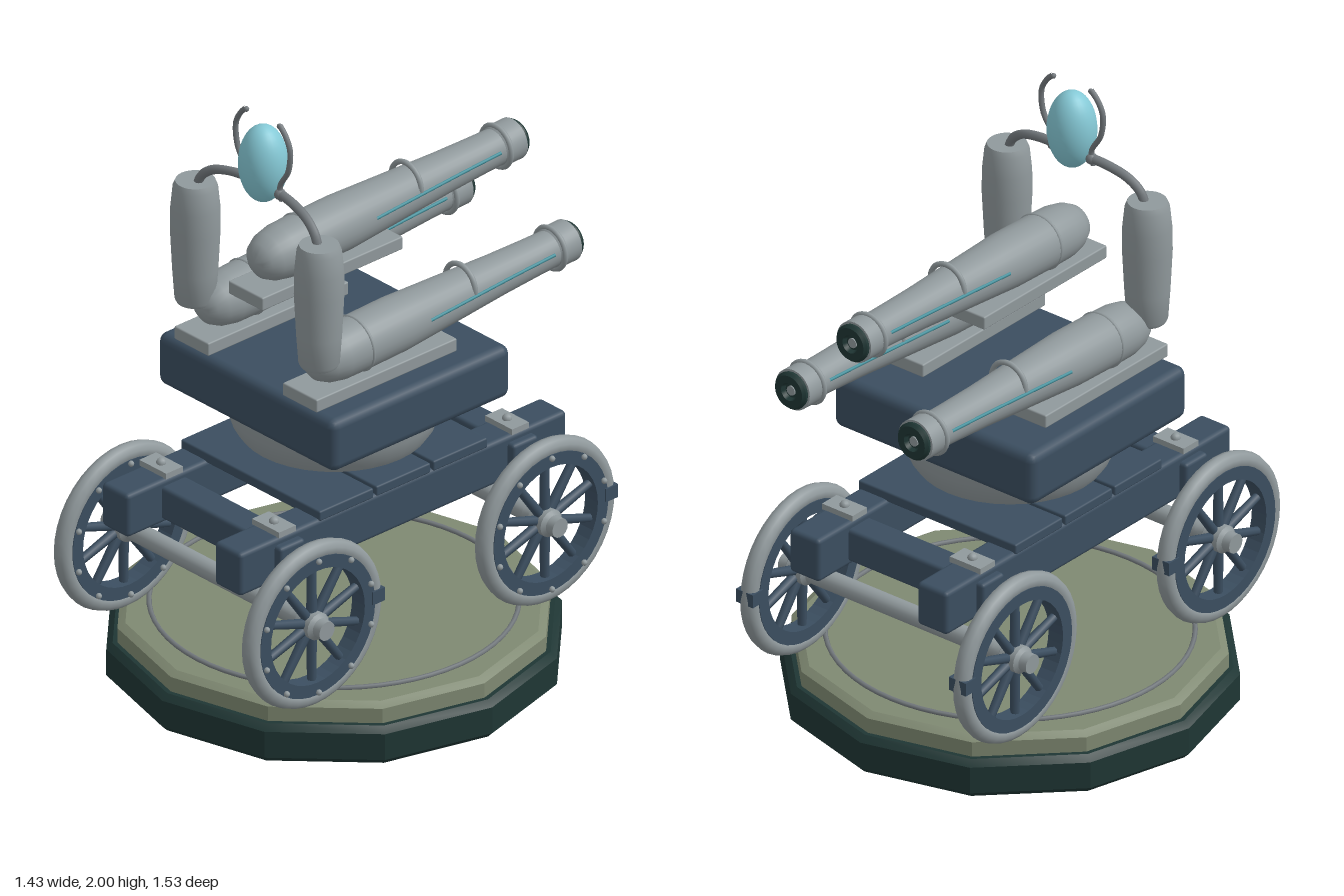
import * as THREE from 'three';
import { toCreasedNormals } from 'three/addons/utils/BufferGeometryUtils.js';
import { RoundedBoxGeometry } from 'three/addons/geometries/RoundedBoxGeometry.js';

const mat = (name, color) => {
  const m = new THREE.MeshStandardMaterial({ color });
  m.name = name;
  return m;
};

export function createModel() {
  const steel = mat('steel', 0x90999c);
  const iron = mat('dark iron', 0x73797d);
  const navy = mat('navy wood', 0x3b4e60);
  const olive = mat('olive ground', 0x7f8972);
  const dark = mat('dark green', 0x1f3634);
  const aqua = mat('aqua crystal', 0x85c9d6);
  const teal = mat('teal inlay', 0x3f8f9b);

  const root = new THREE.Group();
  root.name = 'tripleCannonWagon';

  // Helpers
  const group = (name, parent = root) => {
    const g = new THREE.Group();
    g.name = name;
    parent.add(g);
    return g;
  };
  const add = (parent, name, geo, material, x = 0, y = 0, z = 0) => {
    const m = new THREE.Mesh(geo, material);
    m.name = name;
    m.position.set(x, y, z);
    parent.add(m);
    return m;
  };
  const lathe = (pts, seg = 28, crease = 0.6) => toCreasedNormals(
    new THREE.LatheGeometry(pts.map(([r, y]) => new THREE.Vector2(r, y)), seg), crease);
  const box = (w, h, d, r = 0.012) => new RoundedBoxGeometry(w, h, d, 2, r);
  const tube = (pts, r, seg = 20) => new THREE.TubeGeometry(
    new THREE.CatmullRomCurve3(pts.map(p => new THREE.Vector3(...p))), seg, r, 8);

  // Twelve-sided stand
  const stand = group('stand');
  add(stand, 'standBase', lathe([[0, 0], [0.695, 0], [0.715, 0.02], [0.715, 0.11], [0.695, 0.13], [0, 0.13]], 12, 0.4), dark);
  add(stand, 'standTop', lathe([[0, 0.125], [0.68, 0.125], [0.68, 0.18], [0.655, 0.195], [0, 0.195]], 12, 0.4), olive);
  const ring = add(stand, 'standRing', new THREE.TorusGeometry(0.567, 0.008, 6, 64), iron, 0, 0.2, 0);
  ring.rotation.x = Math.PI / 2;

  // Wheels: built around local z, turned so z becomes +x
  function wheel(x, z) {
    const w = group('wheel');
    w.position.set(x, 0.467, z);
    w.rotation.y = Math.PI / 2;
    add(w, 'tyre', new THREE.TorusGeometry(0.25, 0.03, 10, 40), steel);
    const felloe = new THREE.Shape().absarc(0, 0, 0.238, 0, Math.PI * 2);
    felloe.holes.push(new THREE.Path().absarc(0, 0, 0.195, 0, Math.PI * 2, true));
    const rim = new THREE.ExtrudeGeometry(felloe, { depth: 0.058, bevelEnabled: false, curveSegments: 20 });
    add(w, 'felloe', rim, navy, 0, 0, -0.029);
    for (let i = 0; i < 10; i++) {
      const a = (i / 10) * Math.PI * 2 + Math.PI / 10;
      const s = add(w, 'spoke', new THREE.CylinderGeometry(0.014, 0.017, 0.18, 8), navy,
        Math.cos(a) * 0.12, Math.sin(a) * 0.12, 0);
      s.rotation.z = a - Math.PI / 2;
      add(w, 'stud', new THREE.SphereGeometry(0.01, 8, 6), steel,
        Math.cos(a) * 0.228, Math.sin(a) * 0.228, 0.034);
    }
    add(w, 'rimClip', new THREE.BoxGeometry(0.05, 0.045, 0.068), navy, 0.25, 0.015, 0);
    const hub = add(w, 'hub', lathe([[0, -0.07], [0.032, -0.07], [0.032, -0.04], [0.045, -0.03], [0.045, 0.03],
      [0.032, 0.04], [0.032, 0.07], [0, 0.07]], 16), steel);
    hub.rotation.x = Math.PI / 2;
  }

  // Axles, bolsters and straps
  const chassis = group('chassis');
  for (const z of [-0.485, 0.485]) {
    for (const x of [-0.425, 0.425]) wheel(x, z);
    const axle = add(chassis, 'axle', new THREE.CylinderGeometry(0.032, 0.032, 0.9, 16), steel, 0, 0.467, z);
    axle.rotation.z = Math.PI / 2;
    add(chassis, 'bolster', box(0.685, 0.112, 0.105), navy, 0, 0.655, z);
    for (const x of [-0.255, 0.255]) {
      add(chassis, 'strap', new THREE.BoxGeometry(0.122, 0.02, 0.07), steel, x, 0.742, z);
      add(chassis, 'strapBolt', new THREE.SphereGeometry(0.016, 10, 8), steel, x, 0.754, z);
    }
  }
  for (const x of [-0.255, 0.255]) add(chassis, 'sideRail', box(0.12, 0.15, 1.36, 0.015), navy, x, 0.658, 0);
  for (const z of [-0.237, 0, 0.237]) add(chassis, 'deckPlank', box(0.63, 0.035, 0.225, 0.006), navy, 0, 0.743, z);

  // Turntable and platform
  add(root, 'turntable', lathe([[0, 0.805], [0.295, 0.805], [0.315, 0.835], [0.33, 0.88], [0.338, 0.935], [0, 0.935]], 36), steel);
  add(root, 'platform', box(0.8, 0.18, 0.745, 0.03), navy, 0, 1.02, 0);

  // Cannons: the barrel profile runs from breech to muzzle
  function cannon(x, y) {
    const c = group('cannon');
    c.position.set(x, y, 0);
    add(c, 'cradle', box(0.155, 0.045, 0.585, 0.005), steel, 0, -0.1, 0.077);
    const b = group('barrelGroup', c);
    b.position.z = 0.335;
    b.rotation.x = -Math.PI / 2 + 0.036;
    add(b, 'barrel', lathe([[0, 0], [0.035, 0.006], [0.06, 0.025], [0.078, 0.06], [0.088, 0.11], [0.09, 0.2],
      [0.09, 0.36], [0.085, 0.45], [0.076, 0.62], [0.067, 0.78], [0.062, 0.92], [0.06, 1.0],
      [0.068, 1.01], [0.068, 1.08], [0, 1.08]]), steel);
    add(b, 'muzzle', lathe([[0.06, 1.07], [0.062, 1.09], [0.054, 1.1], [0.03, 1.1], [0.024, 1.085], [0, 1.083]], 24), dark);
    add(b, 'boreCore', lathe([[0.016, 1.08], [0.016, 1.09], [0, 1.09]], 16), steel);
    const seam = add(b, 'breechSeam', new THREE.TorusGeometry(0.088, 0.006, 8, 32), steel, 0, 0.195, 0);
    seam.rotation.x = Math.PI / 2;
    // Upright reinforcing bands
    add(c, 'middleBand', new THREE.TorusGeometry(0.067, 0.009, 8, 32), steel, 0, 0.05, -0.3);
    add(c, 'muzzleBand', new THREE.TorusGeometry(0.068, 0.009, 8, 32), steel, 0, 0.036, -0.675);
    // Inlaid lines along both flanks
    for (const s of [-1, 1]) {
      add(c, 'inlay', tube([[s * 0.083, 0.03, -0.1], [s * 0.073, 0.037, -0.3],
        [s * 0.064, 0.043, -0.48], [s * 0.058, 0.048, -0.64]], 0.0055), teal);
    }
  }
  cannon(-0.245, 1.238);
  cannon(0.245, 1.238);
  cannon(0, 1.495);

  // Pillars, conduits and crystal holder
  for (const s of [-1, 1]) {
    const side = group(s > 0 ? 'leftPillar' : 'rightPillar');
    add(side, 'pillar', lathe([[0, 1.25], [0.058, 1.25], [0.064, 1.262], [0.071, 1.36], [0.078, 1.5], [0.077, 1.58],
      [0.07, 1.65], [0.062, 1.67], [0, 1.67]]), steel, s * 0.28, 0, 0.32);
    add(side, 'conduit', tube([[s * 0.275, 1.65, 0.318], [s * 0.255, 1.695, 0.316], [s * 0.21, 1.73, 0.31],
      [s * 0.14, 1.75, 0.302], [s * 0.075, 1.757, 0.296]], 0.015, 24), iron);
    add(side, 'conduitEnd', new THREE.SphereGeometry(0.019, 12, 8), iron, s * 0.077, 1.755, 0.296);
    add(side, 'prong', tube([[s * 0.085, 1.735, 0.296], [s * 0.077, 1.78, 0.296], [s * 0.115, 1.85, 0.296],
      [s * 0.122, 1.925, 0.296], [s * 0.1, 1.97, 0.296], [s * 0.075, 1.995, 0.296]], 0.009, 28), iron);
    add(side, 'prongTip', new THREE.SphereGeometry(0.009, 8, 6), iron, s * 0.075, 1.991, 0.296);
  }
  const crystal = add(root, 'crystal', new THREE.SphereGeometry(1, 28, 20), aqua, 0, 1.833, 0.295);
  crystal.scale.set(0.079, 0.131, 0.077);

  return root;
}
